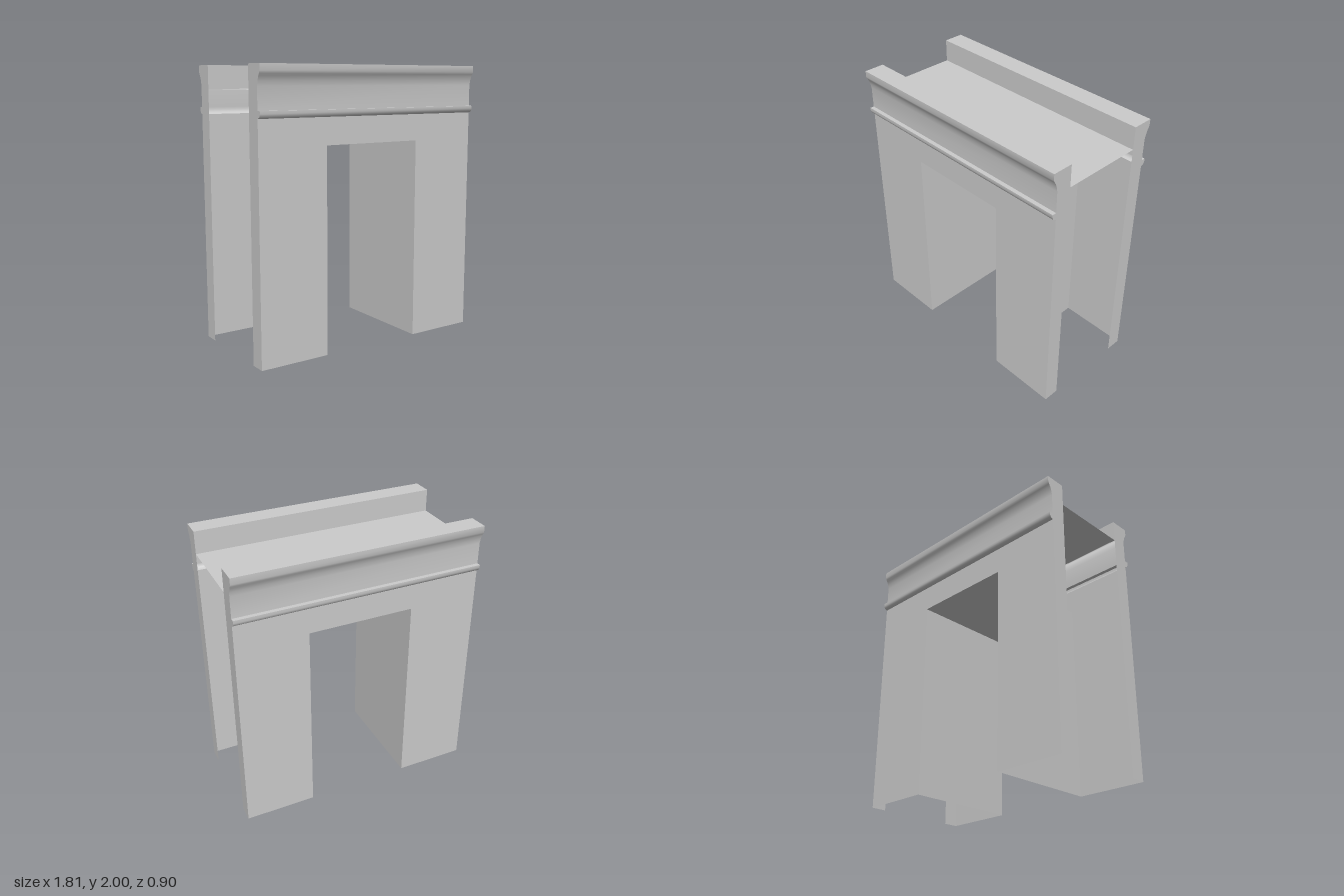
import * as THREE from 'three';
import { toCreasedNormals } from 'three/addons/utils/BufferGeometryUtils.js';

const HALF_W = 0.905, DOOR_W = 0.385, DOOR_H = 1.465;
const FACE = 0.415, INNER = 0.3, ROOF_Y = 1.835, BAND_Y = 1.655;

// Section [z, y] of the parapet, cornice and string course, from the roof over the top and down
const SECTION = [
  [INNER, ROOF_Y], [INNER, 2], [0.45, 2], [0.45, 1.955], [0.442, 1.938], [0.432, 1.922],
  [0.422, 1.893], [FACE, 1.86], [FACE, 1.705], [0.445, 1.705], [0.445, 1.685],
  [0.438, 1.667], [0.428, 1.659], [FACE, BAND_Y],
];

const material = new THREE.MeshStandardMaterial({ color: 0xcccccc, side: THREE.DoubleSide });

function add(parent, name, geometry) {
  const mesh = new THREE.Mesh(geometry, material);
  mesh.name = name;
  parent.add(mesh);
  return mesh;
}

const shapeOf = (points) => new THREE.Shape(points.map(([x, y]) => new THREE.Vector2(x, y)));

// Sweep an open [z, y] section along the full width
function sweepAlongX(section) {
  const geo = new THREE.PlaneGeometry(2 * HALF_W, 1, 1, section.length - 1);
  const pos = geo.attributes.position;
  for (let i = 0; i < pos.count; i++) {
    const [z, y] = section[Math.floor(i / 2)];
    pos.setY(i, y);
    pos.setZ(i, z);
  }
  return toCreasedNormals(geo, 0.7);
}

function createFacade(name) {
  const facade = new THREE.Group();
  facade.name = name;

  // Thin wall with the doorway cut out of its foot
  const wall = new THREE.ShapeGeometry(shapeOf([
    [-HALF_W, 0], [-DOOR_W, 0], [-DOOR_W, DOOR_H], [DOOR_W, DOOR_H],
    [DOOR_W, 0], [HALF_W, 0], [HALF_W, BAND_Y], [-HALF_W, BAND_Y],
  ]));
  add(facade, 'facadeWall', wall.translate(0, 0, FACE));

  add(facade, 'parapetAndMouldings', sweepAlongX(SECTION));

  // End returns, closing the mouldings at both sides
  for (const side of [-1, 1]) {
    const end = new THREE.ShapeGeometry(shapeOf([[INNER, 0], ...SECTION.slice(1), [FACE, 0]]));
    end.rotateY(-Math.PI / 2).translate(side * HALF_W, 0, 0);
    add(facade, side > 0 ? 'leftReturn' : 'rightReturn', end);
  }
  return facade;
}

export function createModel() {
  const model = new THREE.Group();
  model.name = 'gateway';

  // Two identical facades, back to back
  model.add(createFacade('frontFacade'));
  const back = createFacade('backFacade');
  back.rotation.y = Math.PI;
  model.add(back);

  // Roof sheet between the parapets
  add(model, 'roof', new THREE.PlaneGeometry(2 * HALF_W, 2 * INNER)
    .rotateX(-Math.PI / 2).translate(0, ROOF_Y, 0));

  // Passage lining
  add(model, 'passageCeiling', new THREE.PlaneGeometry(2 * DOOR_W, 2 * FACE)
    .rotateX(Math.PI / 2).translate(0, DOOR_H, 0));
  for (const side of [-1, 1]) {
    add(model, side > 0 ? 'leftPassageWall' : 'rightPassageWall',
      new THREE.PlaneGeometry(2 * FACE, DOOR_H)
        .rotateY(-side * Math.PI / 2).translate(side * DOOR_W, DOOR_H / 2, 0));
  }
  return model;
}
